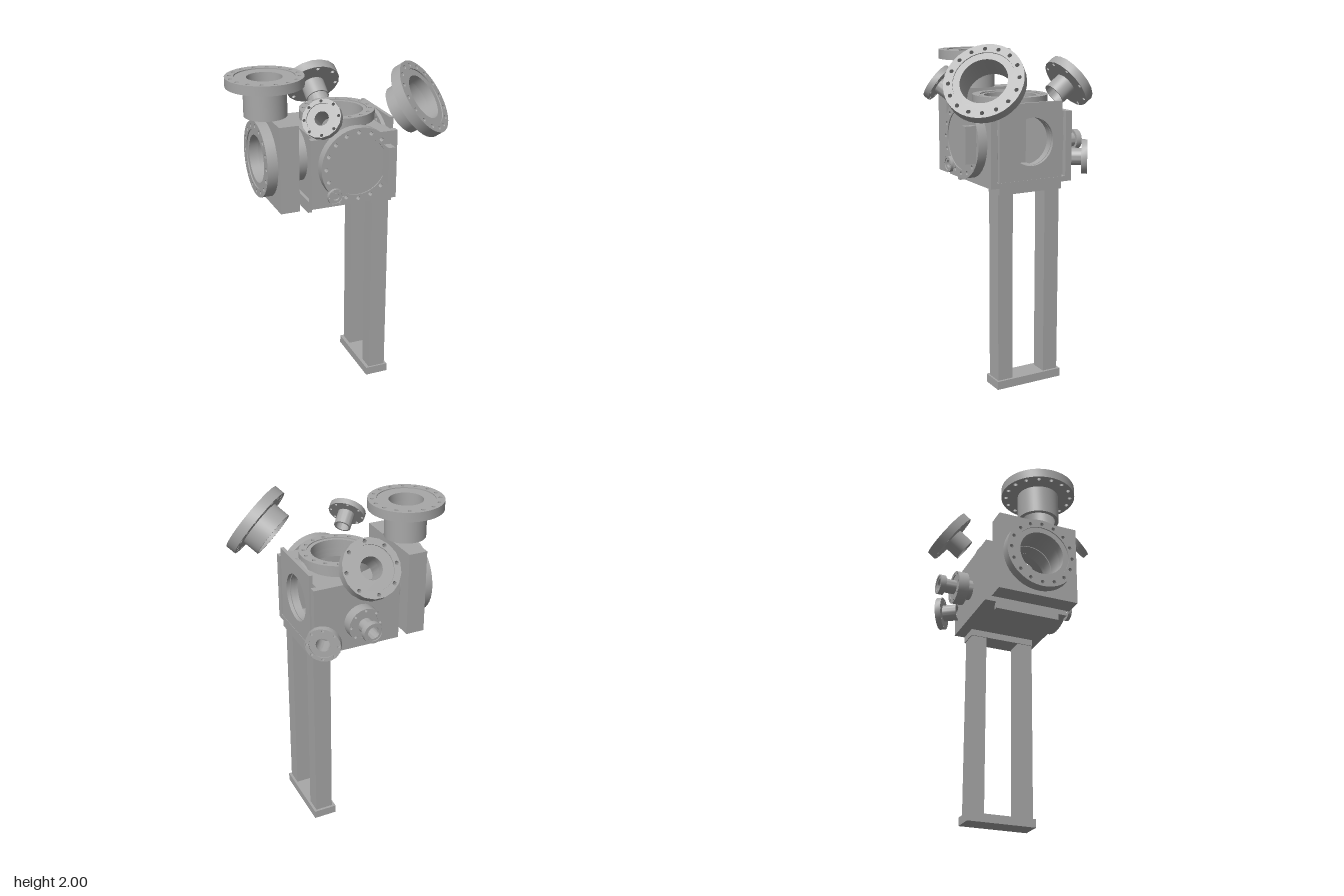
import * as THREE from 'three';
import { toCreasedNormals } from 'three/addons/utils/BufferGeometryUtils.js';

const steel = new THREE.MeshStandardMaterial({ color: 0xa8a8a8 });
steel.name = 'steel grey';

// Common centre of the chamber ports
const CX = 0.05, CY = 1.45, CZ = -0.01;

function circlePoints(r, n, x = 0, y = 0) {
  return Array.from({ length: n }, (_, i) => {
    const a = (i / n) * Math.PI * 2;
    return new THREE.Vector2(x + r * Math.cos(a), y + r * Math.sin(a));
  });
}

function addMesh(parent, name, geometry) {
  const mesh = new THREE.Mesh(geometry, steel);
  mesh.name = name;
  parent.add(mesh);
  return mesh;
}

// Box given by its lower and upper corners
function box(parent, name, [x0, y0, z0], [x1, y1, z1]) {
  const mesh = addMesh(parent, name, new THREE.BoxGeometry(x1 - x0, y1 - y0, z1 - z0));
  mesh.position.set((x0 + x1) / 2, (y0 + y1) / 2, (z0 + z1) / 2);
  return mesh;
}

function extrude(shape, z0, z1) {
  const g = new THREE.ExtrudeGeometry(shape, { depth: z1 - z0, bevelEnabled: false });
  g.translate(0, 0, z0);
  return toCreasedNormals(g, 0.5);
}

// Ring or disc lying between z0 and z1, with an optional circle of bolt holes
function ring(R, bore, z0, z1, sides = 40, bolts = 0, boltCircle = 0, boltR = 0.012) {
  const shape = new THREE.Shape(circlePoints(R, sides));
  if (bore > 0) shape.holes.push(new THREE.Path(circlePoints(bore, sides)));
  for (let i = 0; i < bolts; i++) {
    const a = (i / bolts) * Math.PI * 2;
    shape.holes.push(new THREE.Path(circlePoints(boltR, 8, boltCircle * Math.cos(a), boltCircle * Math.sin(a))));
  }
  return extrude(shape, z0, z1);
}

// Bolted flange with a stepped face and a neck; its outer face is at pos, looking along dir
function flange(parent, name, pos, dir, o) {
  const g = new THREE.Group();
  const { R, bore, t, sides = 40, bolts = 16 } = o;
  const step = o.step ?? R * 0.77;
  g.name = name;
  g.position.set(...pos);
  g.quaternion.setFromUnitVectors(new THREE.Vector3(0, 0, 1), new THREE.Vector3(...dir).normalize());
  addMesh(g, 'boltRing', ring(R, step, -t, 0, sides, bolts, R * 0.875, o.boltR ?? 0.012));
  addMesh(g, 'innerFace', ring(step, bore, -t, -0.006, sides));
  if (o.neckL) addMesh(g, 'neck', ring(o.neckR, bore, -t - o.neckL, -t, 40));
  parent.add(g);
  return g;
}

// Rectangular wall in its own xy plane with a round hole in the middle of the ports
function holedWall(parent, name, [x0, y0], [x1, y1], hx, hy, hr, t) {
  const shape = new THREE.Shape([[x0, y0], [x1, y0], [x1, y1], [x0, y1]].map(p => new THREE.Vector2(...p)));
  shape.holes.push(new THREE.Path(circlePoints(hr, 40, hx, hy)));
  return addMesh(parent, name, extrude(shape, 0, t));
}

// Wall facing sideways: local x runs along -z of the model
function sideWall(parent, name, x, t, z0, z1, y0, y1) {
  const wall = holedWall(parent, name, [-z1, y0], [-z0, y1], -CZ, CY, 0.137, t);
  wall.rotation.y = Math.PI / 2;
  wall.position.x = x;
}

export function createModel() {
  const model = new THREE.Group();
  model.name = 'vacuumChamber';

  // Stand: foot, two legs and the cap under the chamber
  const stand = new THREE.Group();
  stand.name = 'stand';
  model.add(stand);
  box(stand, 'foot', [0.165, 0, -0.215], [0.305, 0.05, 0.21]);
  for (const z of [-0.2, 0.105]) box(stand, 'leg', [0.185, 0.05, z], [0.29, 1.17, z + 0.095]);
  box(stand, 'legCap', [0.18, 1.165, -0.205], [0.305, 1.21, 0.2]);

  // Hollow chamber box
  const chamber = new THREE.Group();
  chamber.name = 'chamber';
  model.add(chamber);
  box(chamber, 'floor', [-0.21, 1.205, -0.27], [0.31, 1.235, 0.255]);
  box(chamber, 'floorRail', [-0.21, 1.165, -0.2], [-0.185, 1.205, 0.2]);
  box(chamber, 'backWall', [-0.19, 1.235, -0.27], [0.28, 1.61, -0.245]);
  box(chamber, 'frontWall', [-0.19, 1.235, 0.225], [0.28, 1.61, 0.255]);
  sideWall(chamber, 'leftPortWall', -0.19, 0.025, -0.245, 0.225, 1.235, 1.61);
  sideWall(chamber, 'rightPortWall', 0.24, 0.025, -0.245, 0.225, 1.235, 1.61);
  const roof = holedWall(chamber, 'roof', [-0.19, -0.255], [0.28, 0.27], CX, -CZ, 0.15, 0.025);
  roof.rotation.x = -Math.PI / 2;
  roof.position.y = 1.585;

  // Upright strips on the four corners
  for (const x of [-0.21, 0.28]) {
    for (const z of [-0.27, 0.215]) {
      box(chamber, 'cornerStrip', [x, 1.235, z], [x + 0.03, 1.61, z + 0.04]);
    }
  }

  // Right side: port flange behind the carrying plate
  flange(model, 'rightPortFlange', [0.29, CY, CZ], [1, 0, 0], { R: 0.217, bore: 0.137, t: 0.025 });
  sideWall(model, 'carryingPlate', 0.288, 0.02, -0.205, 0.2, 1.165, 1.67);

  // Top port
  flange(model, 'topPort', [CX, 1.695, CZ], [0, 1, 0], { R: 0.217, bore: 0.15, t: 0.055, step: 0.172, neckR: 0.175, neckL: 0.03 });

  // Front door with its handle and small viewport
  flange(model, 'frontDoor', [CX, CY, 0.31], [0, 0, 1], { R: 0.22, bore: 0, t: 0.055 });
  box(model, 'doorHandle', [0.2, 1.345, 0.3], [0.24, 1.555, 0.375]);
  flange(model, 'smallViewport', [-0.09, 1.29, 0.328], [0, 0, 1],
    { R: 0.047, bore: 0.022, t: 0.022, bolts: 6, boltR: 0.004, sides: 20 });

  // Gate valve on the left side
  const valve = new THREE.Group();
  valve.name = 'gateValve';
  model.add(valve);
  sideWall(valve, 'valveBody', -0.385, 0.112, -0.255, 0.24, 1.2, 1.7);
  flange(valve, 'valveFlange', [-0.445, CY, CZ], [-1, 0, 0], { R: 0.22, bore: 0.137, t: 0.06 });
  flange(valve, 'valveNeck', [-0.273, CY, CZ], [-1, 0, 0], { R: 0.155, bore: 0.137, t: 0.085, step: 0.15, bolts: 0 });

  // Upright port above the valve
  flange(model, 'uprightPort', [-0.38, 1.925, -0.005], [0, 1, 0],
    { R: 0.22, bore: 0.1, t: 0.055, neckR: 0.122, neckL: 0.17 });

  // Large slanted viewport, front left
  flange(model, 'largeSlantedPort', [0.417, 1.82, 0.355], [1, 1, 1],
    { R: 0.22, bore: 0.131, t: 0.06, neckR: 0.14, neckL: 0.1 });

  // Small slanted port, front right
  flange(model, 'smallSlantedPort', [-0.187, 1.765, 0.35], [-1, 1, 1],
    { R: 0.11, bore: 0.04, t: 0.035, neckR: 0.05, neckL: 0.09, bolts: 8, boltR: 0.009, sides: 16 });

  // Slanted port rising from the back
  flange(model, 'rearSlantedPort', [CX, 1.765, -0.435], [0, 0.6, -0.8],
    { R: 0.166, bore: 0.064, t: 0.055, neckR: 0.07, neckL: 0.1, bolts: 8, sides: 18 });

  // Level port on the rear left corner
  flange(model, 'rearCornerPort', [0.31, 1.335, -0.38], [0.56, 0, -0.83],
    { R: 0.1, bore: 0.04, t: 0.035, neckR: 0.05, neckL: 0.085, bolts: 8, boltR: 0.008, sides: 18 });

  // Straight port on the back: neck, bolted pair of flanges, tube and end flange
  flange(model, 'rearPort', [CX, 1.395, -0.375], [0, 0, -1],
    { R: 0.1, bore: 0.035, t: 0.065, neckR: 0.06, neckL: 0.045, bolts: 8, boltR: 0.008, sides: 20 });
  flange(model, 'rearPortEnd', [CX, 1.395, -0.475], [0, 0, -1],
    { R: 0.06, bore: 0.035, t: 0.035, neckR: 0.043, neckL: 0.07, bolts: 0, sides: 28 });

  return model;
}
